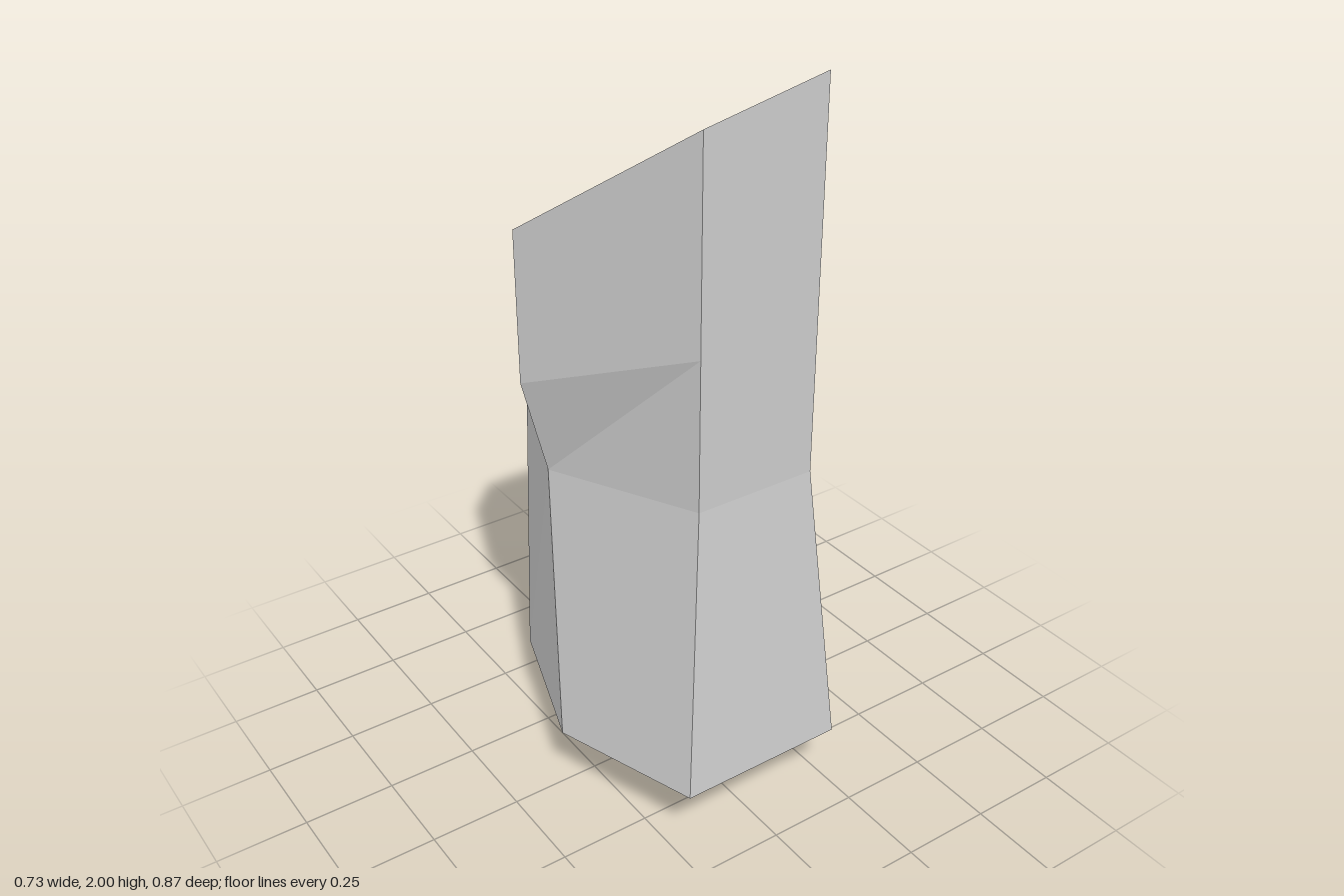
import * as THREE from 'three';

// Open faceted tube from columns of points. Every column runs bottom to top.
// rising[level][side]: 1 if the fold climbs towards the side's first column.
function facetedTube(columns, rising) {
  const pos = [];
  const tri = (...corners) => {
    const [a, b, c] = corners.map((p) => new THREE.Vector3(...p));
    if (new THREE.Triangle(a, b, c).getArea() < 1e-6) return;
    for (const v of [a, b, c]) pos.push(v.x, v.y, v.z);
  };
  columns.forEach((a, i) => {
    const b = columns[(i + 1) % columns.length];
    for (let l = 0; l < a.length - 1; l++) {
      if (rising[l][i]) {
        tri(a[l], b[l], a[l + 1]);
        tri(b[l], b[l + 1], a[l + 1]);
      } else {
        tri(a[l], b[l], b[l + 1]);
        tri(a[l], b[l + 1], a[l + 1]);
      }
    }
  });
  const geometry = new THREE.BufferGeometry();
  geometry.setAttribute('position', new THREE.Float32BufferAttribute(pos, 3));
  geometry.computeVertexNormals();
  return geometry;
}

export function createModel() {
  const group = new THREE.Group();
  group.name = 'hollowSleeve';
  const grey = new THREE.MeshStandardMaterial({ color: 0xcccccc, flatShading: true, side: THREE.DoubleSide });
  grey.name = 'plain grey';

  // Column order: front right, right, back right, back left, left, front left
  const sleeve = facetedTube([
    [[0.233, 0.2, 0.433], [0.167, 1, 0.367], [0.167, 1.4, 0.367], [0.167, 2, 0.367]],
    [[0.367, 0.2, 0.033], [0.3, 0.867, -0.033], [0.3, 1.267, -0.1], [0.3, 1.667, -0.1]],
    [[0.167, 0.2, -0.367], [0.167, 0.933, -0.433], [0.1, 1.333, -0.433], [0.1, 1.333, -0.433]],
    [[-0.233, 0.2, -0.367], [-0.167, 0.933, -0.433], [-0.167, 1.333, -0.433], [-0.167, 1.333, -0.433]],
    [[-0.367, 0.2, 0.033], [-0.3, 0.933, -0.1], [-0.367, 1.2, -0.1], [-0.367, 1.6, -0.1]],
    [[-0.233, 0.2, 0.433], [-0.167, 1, 0.367], [-0.167, 1.4, 0.367], [-0.167, 1.933, 0.367]],
  ], [[1, 1, 1, 0, 0, 1], [1, 0, 1, 1, 0, 1], [1, 1, 1, 0, 0, 1]]);

  // Narrow collar, reaching up inside the sleeve
  const collar = facetedTube([
    [[0.1, 0, 0.233], [0.1, 0.4, 0.3]],
    [[0.233, 0, -0.033], [0.233, 0.4, -0.033]],
    [[0.1, 0, -0.233], [0.1, 0.4, -0.233]],
    [[-0.1, 0, -0.233], [-0.1, 0.4, -0.233]],
    [[-0.167, 0, -0.033], [-0.233, 0.4, -0.033]],
    [[-0.1, 0, 0.233], [-0.1, 0.4, 0.3]],
  ], [[1, 1, 1, 0, 1, 1]]);

  for (const [name, geometry] of [['outerSleeve', sleeve], ['innerCollar', collar]]) {
    const mesh = new THREE.Mesh(geometry, grey);
    mesh.name = name;
    group.add(mesh);
  }
  return group;
}
